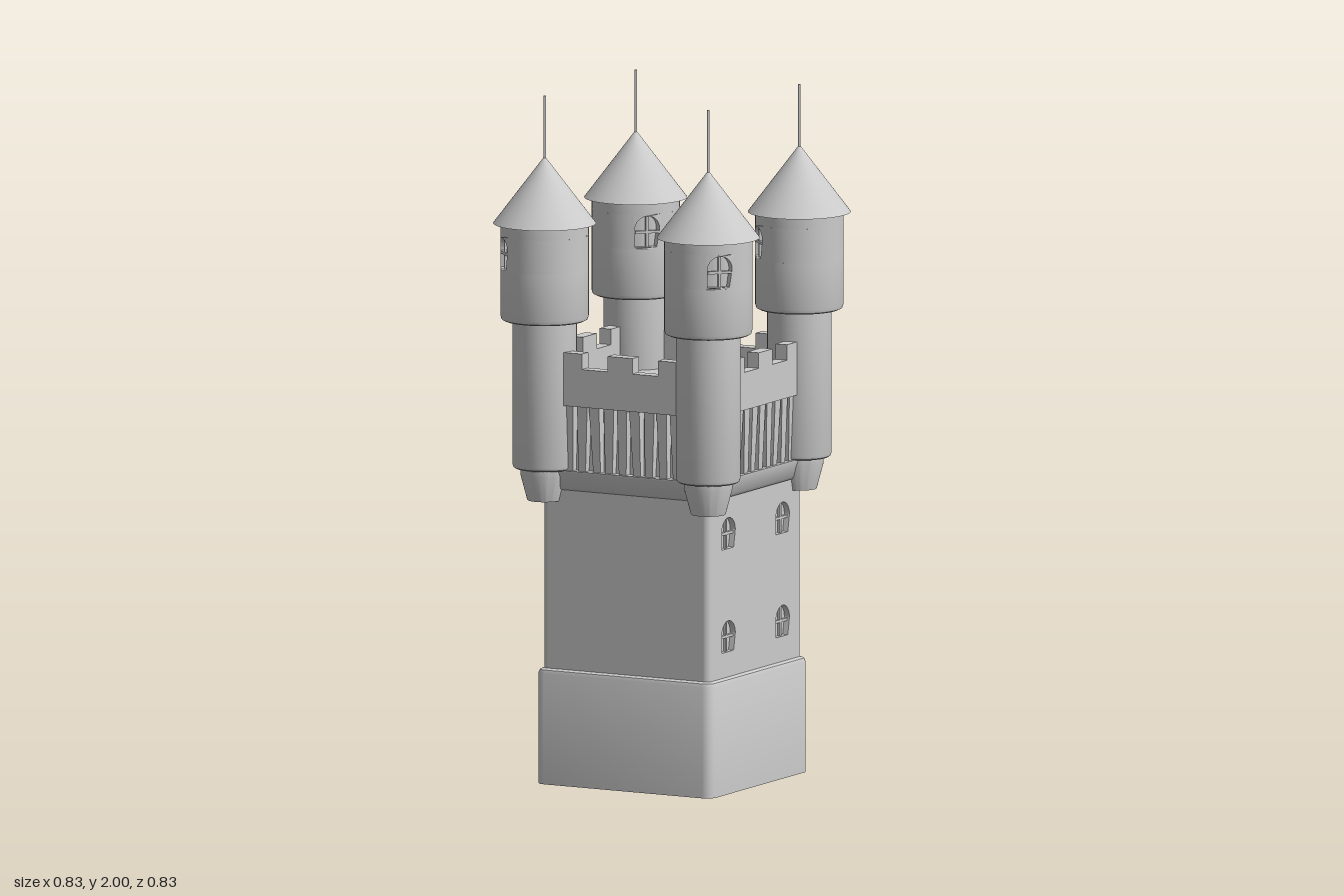
import * as THREE from 'three';
import { toCreasedNormals } from 'three/addons/utils/BufferGeometryUtils.js';

const grey = new THREE.MeshStandardMaterial({ color: 0xcccccc, side: THREE.DoubleSide });

function add(parent, name, geometry, x = 0, y = 0, z = 0) {
  const mesh = new THREE.Mesh(geometry, grey);
  mesh.name = name;
  mesh.position.set(x, y, z);
  parent.add(mesh);
  return mesh;
}

const box = (w, h, d) => new THREE.BoxGeometry(w, h, d);
const vec = (x, y) => new THREE.Vector2(x, y);

// Surface of revolution with crisp edges, from [radius, y] pairs
function lathe(profile, start = 0, length = Math.PI * 2, segments = 48) {
  const geo = new THREE.LatheGeometry(profile.map(([r, y]) => vec(r, y)), segments, start, length);
  return toCreasedNormals(geo, 0.6);
}

// Rounded-square cross-sections [y, half width, corner radius] joined in a loop
function squareLoft(sections) {
  const steps = 6, ring = 4 * (steps + 1), pos = [], index = [];
  for (const [y, half, r] of sections) {
    for (let c = 0; c < 4; c++) {
      const mid = Math.PI / 4 + c * Math.PI / 2;
      const cx = Math.sign(Math.cos(mid)) * (half - r), cz = Math.sign(Math.sin(mid)) * (half - r);
      for (let i = 0; i <= steps; i++) {
        const a = (c + i / steps) * Math.PI / 2;
        pos.push(cx + r * Math.cos(a), y, cz + r * Math.sin(a));
      }
    }
  }
  for (let s = 0; s < sections.length - 1; s++) {
    for (let i = 0; i < ring; i++) {
      const a = s * ring + i, b = s * ring + (i + 1) % ring;
      index.push(a, a + ring, b, b, a + ring, b + ring);
    }
  }
  const geo = new THREE.BufferGeometry();
  geo.setAttribute('position', new THREE.Float32BufferAttribute(pos, 3));
  geo.setIndex(index);
  return toCreasedNormals(geo, 0.5);
}

// Round-topped window outline standing on (x, y)
function archPoints(x, y, w, h) {
  const r = w / 2, pts = [];
  for (let i = 0; i < 8; i++) pts.push(vec(x - r + w * i / 8, y));
  for (let i = 0; i <= 16; i++) {
    const a = Math.PI * i / 16;
    pts.push(vec(x + r * Math.cos(a), y + h - r + r * Math.sin(a)));
  }
  return pts;
}

// Cross-shaped window bars
function windowBars(parent, x, y, w, h, z) {
  add(parent, 'windowMullion', box(0.008, h, 0.008), x, y + h / 2, z);
  add(parent, 'windowTransom', box(w, 0.008, 0.008), x, y + h * 0.48, z);
}

// One flat face of the keep, with recessed windows [x, y, width, height, hasBars]
function keepWall(windows) {
  const wall = new THREE.Group();
  wall.name = 'keepWall';
  const shape = new THREE.Shape([vec(-0.255, 0.335), vec(0.255, 0.335), vec(0.255, 0.87), vec(-0.255, 0.87)]);
  for (const [x, y, w, h, hasBars] of windows) {
    shape.holes.push(new THREE.Path(archPoints(x, y, w, h)));
    add(wall, 'windowPane', box(w + 0.01, h + 0.01, 0.004), x, y + h / 2, 0.256);
    if (hasBars) windowBars(wall, x, y, w, h, 0.264);
  }
  add(wall, 'wallPanel', new THREE.ExtrudeGeometry(shape, { depth: 0.02, bevelEnabled: false }), 0, 0, 0.255);
  return wall;
}

// Curved wall panel with an arched opening, bent to the turret's radius
function turretWindowPanel(radius, y0, y1, width) {
  const edge = [];
  for (let i = 0; i <= 8; i++) edge.push(vec(width * (i / 8 - 0.5), y0));
  for (let i = 8; i >= 0; i--) edge.push(vec(width * (i / 8 - 0.5), y1));
  const shape = new THREE.Shape(edge);
  shape.holes.push(new THREE.Path(archPoints(0, y0 + 0.005, width - 0.008, y1 - y0 - 0.01)));
  const depth = 0.018;
  const geo = new THREE.ExtrudeGeometry(shape, { depth, bevelEnabled: false });
  const p = geo.attributes.position;
  for (let i = 0; i < p.count; i++) {
    const a = p.getX(i) / radius, r = radius - depth + p.getZ(i);
    p.setXYZ(i, r * Math.sin(a), p.getY(i), r * Math.cos(a));
  }
  return toCreasedNormals(geo, 0.6);
}

function cornerTurret() {
  const turret = new THREE.Group();
  turret.name = 'cornerTurret';
  add(turret, 'turretCorbel', lathe([[0, 0.825], [0.05, 0.825], [0.07, 0.9], [0.07, 0.925]]));
  add(turret, 'turretShaft', lathe([[0, 0.918], [0.084, 0.918], [0.09, 0.922], [0.0925, 0.93], [0.0925, 1.36]]));

  // Wider head, split into bands around the two window openings
  const R = 0.127, y0 = 1.498, y1 = 1.598, width = 0.083, half = width / 2 / R;
  add(turret, 'turretHeadLower', lathe([[0, 1.348], [0.116, 1.348], [0.124, 1.352], [R, 1.362], [R, y0]]));
  add(turret, 'turretHeadUpper', lathe([[R, y1], [R, 1.635]]));
  for (const facing of [0, Math.PI]) {
    add(turret, 'turretHeadSide', lathe([[R, y0], [R, y1]], facing + half, Math.PI - 2 * half, 24));
    const opening = new THREE.Group();
    opening.name = 'turretWindow';
    opening.rotation.y = facing;
    add(opening, 'windowSurround', turretWindowPanel(R, y0, y1, width));
    add(opening, 'windowPane', lathe([[R - 0.018, y0], [R - 0.018, y1]], -half, 2 * half, 8));
    windowBars(opening, 0, y0 + 0.005, width - 0.012, y1 - y0 - 0.01, R - 0.01);
    turret.add(opening);
  }

  // Pointed roof and flagpole
  add(turret, 'turretRoof', new THREE.ConeGeometry(0.148, 0.195, 64), 0, 1.7275, 0);
  add(turret, 'roofSpire', new THREE.CylinderGeometry(0.004, 0.004, 0.19, 12), 0, 1.905, 0);
  return turret;
}

// Tapered bracket between the ledge and the parapet: wider and deeper at the top
function bracketGeometry(lean) {
  const geo = box(0.03, 0.19, 0.03);
  const p = geo.attributes.position;
  for (let i = 0; i < p.count; i++) {
    const top = p.getY(i) > 0;
    p.setX(i, p.getX(i) * (top ? 1.1 : 0.8) + (top ? lean : -lean));
    if (p.getZ(i) > 0 && !top) p.setZ(i, 0.008);
  }
  geo.computeVertexNormals();
  return geo;
}

// Bracket row, parapet and merlons along one side
function battlement() {
  const side = new THREE.Group();
  side.name = 'battlement';
  for (let i = 0; i < 9; i++) {
    add(side, 'parapetBracket', bracketGeometry(0.003 * Math.sin(i * 2.3)), (i - 4) * 0.044, 1.015, 0.283);
  }
  add(side, 'parapet', box(0.4, 0.11, 0.038), 0, 1.165, 0.289);
  add(side, 'middleMerlon', box(0.082, 0.045, 0.038), 0, 1.2425, 0.289);
  for (const s of [-1, 1]) add(side, 'endMerlon', box(0.075, 0.045, 0.038), s * 0.1625, 1.2425, 0.289);
  return side;
}

export function createModel() {
  const castle = new THREE.Group();
  castle.name = 'castleTower';

  // Hollow plinth, open underneath
  add(castle, 'plinth', squareLoft([[0, 0.29, 0.03], [0.322, 0.29, 0.03], [0.332, 0.286, 0.027], [0.338, 0.272, 0.02], [0.338, 0.25, 0.015]]));

  // Keep: four walls, windows on the two sides, rounded corners
  const pairs = [];
  for (const x of [-0.16, 0.16]) for (const y of [0.41, 0.71]) pairs.push([x, y, 0.08, 0.09, true]);
  const slit = [0, 0.5, 0.06, 0.16, false];
  const windowsBySide = [[], pairs, [], [...pairs, slit]];
  windowsBySide.forEach((windows, k) => {
    const wall = keepWall(windows);
    wall.rotation.y = k * Math.PI / 2;
    const edge = new THREE.CylinderGeometry(0.02, 0.02, 0.535, 8, 1, true, 0, Math.PI / 2);
    add(wall, 'keepCorner', edge, 0.255, 0.6025, 0.255);
    const top = battlement();
    top.rotation.y = k * Math.PI / 2;
    castle.add(wall, top);
  });

  // Flared ledge and the solid block carrying the roof deck
  add(castle, 'ledge', squareLoft([[0.86, 0.02, 0.01], [0.86, 0.278, 0.02], [0.868, 0.284, 0.02], [0.915, 0.3, 0.02], [0.92, 0.3, 0.02], [0.92, 0.26, 0.02]]));
  add(castle, 'upperBlock', box(0.54, 0.24, 0.54), 0, 1.02, 0);

  // Corner turrets, each with one window facing out and one facing in
  for (const sx of [-1, 1]) {
    for (const sz of [-1, 1]) {
      const turret = cornerTurret();
      turret.position.set(sx * 0.269, 0, sz * 0.269);
      turret.rotation.y = Math.atan2(sx, sz);
      castle.add(turret);
    }
  }
  return castle;
}
